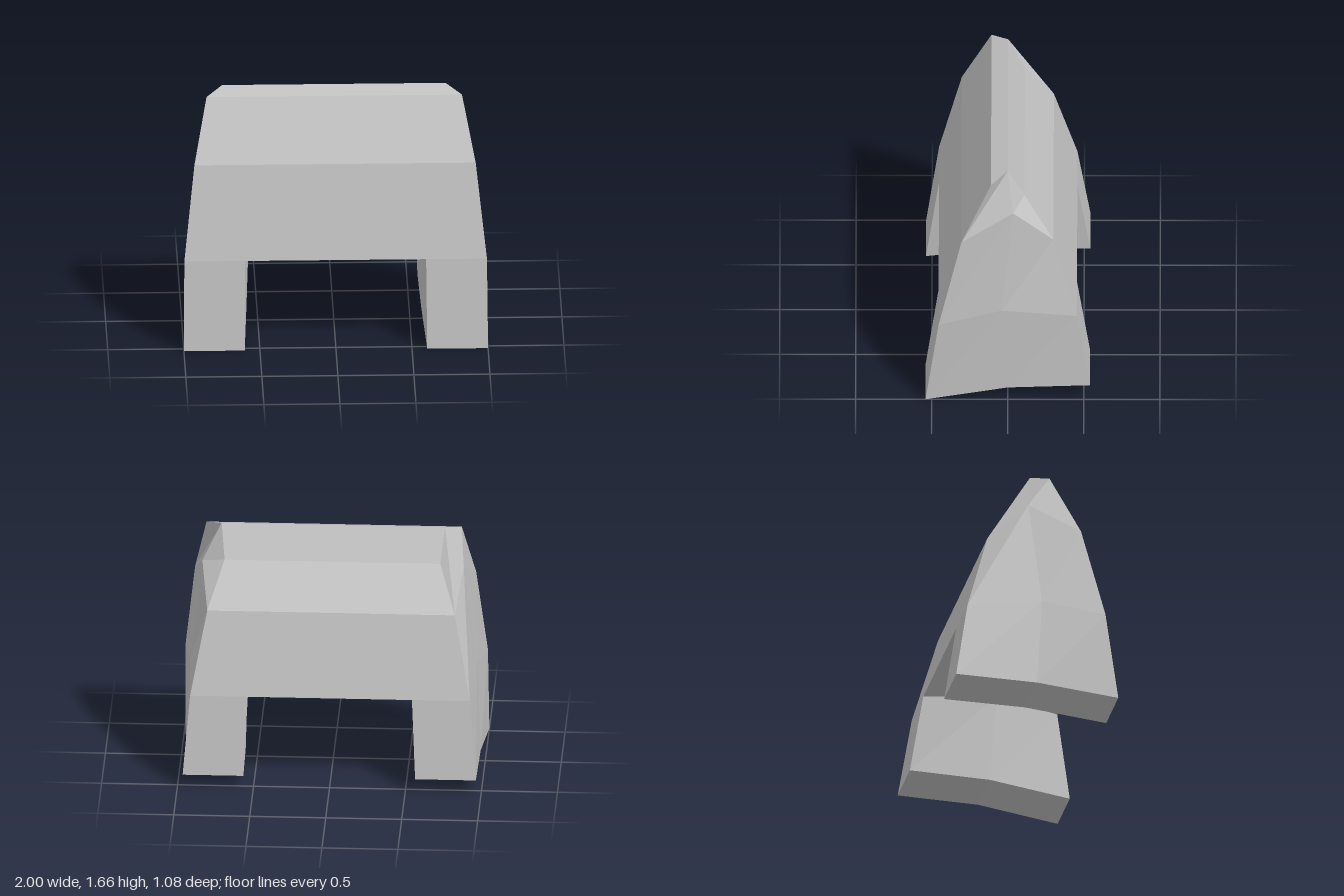
import * as THREE from 'three';

const grey = new THREE.MeshStandardMaterial({ color: 0xc0c0c0 });
grey.name = 'plain grey';

// Outer corners of the +x half: front, middle and back columns, from the foot up
const F = [[1, 0, 0.54], [0.995, 0.6, 0.455], [0.925, 1.22, 0.305], [0.84, 1.625, 0.11]];
const M = [[0.97, 0.075, 0], [0.944, 0.68, 0.04], [0.86, 1.41, -0.035]];
const B = [[0.965, 0.09, -0.54], [0.92, 0.62, -0.455], [0.815, 1.165, -0.3]];
const ridge = [0.735, 1.665, 0];
const slope = [0.71, 1.45, -0.11];

// Inner corners of the leg: front, middle and back, foot then ceiling
const I = [[0.6, 0, 0.54], [0.595, 0.6, 0.455]];
const N = [[0.575, 0.075, 0], [0.565, 0.68, 0.04]];
const J = [[0.565, 0.09, -0.54], [0.54, 0.62, -0.455]];

const mirror = ([x, y, z]) => [-x, y, z];
const mirrorQuads = quads => quads.map(q => q.map(mirror).reverse());

// Strip from one side to the other, between two corners
const across = (low, high) => [low, high, mirror(high), mirror(low)];

// Flat-faced mesh from four-cornered faces
function quadMesh(name, quads) {
  const pos = quads.flatMap(([a, b, c, d]) => [a, b, c, a, c, d]).flat();
  const geo = new THREE.BufferGeometry();
  geo.setAttribute('position', new THREE.Float32BufferAttribute(pos, 3));
  geo.computeVertexNormals();
  const mesh = new THREE.Mesh(geo, grey);
  mesh.name = name;
  return mesh;
}

export function createModel() {
  const group = new THREE.Group();
  group.name = 'taperedBlock';

  // Sloping sides of the body, with the notch beside the ridge
  const side = [
    [F[1], M[1], M[2], F[2]],
    [F[2], M[2], ridge, F[3]],
    [M[1], B[1], B[2], M[2]],
    [M[2], B[2], slope, ridge],
  ];

  // Front, top, back and arched ceiling of the body
  const outline = [F[1], F[2], F[3], ridge, slope, B[2], B[1]];
  const shell = outline.slice(1).map((p, i) => across(outline[i], p));
  const ceiling = [across(N[1], I[1]), across(J[1], N[1])];
  group.add(quadMesh('body', [...side, ...mirrorQuads(side), ...shell, ...ceiling]));

  // Legs, open where they join the body
  const leg = [
    [F[0], F[1], I[1], I[0]],
    [F[0], M[0], M[1], F[1]],
    [M[0], B[0], B[1], M[1]],
    [B[0], J[0], J[1], B[1]],
    [J[0], N[0], N[1], J[1]],
    [N[0], I[0], I[1], N[1]],
    [F[0], I[0], N[0], M[0]],
    [M[0], N[0], J[0], B[0]],
  ];
  group.add(quadMesh('leftLeg', leg), quadMesh('rightLeg', mirrorQuads(leg)));
  return group;
}
